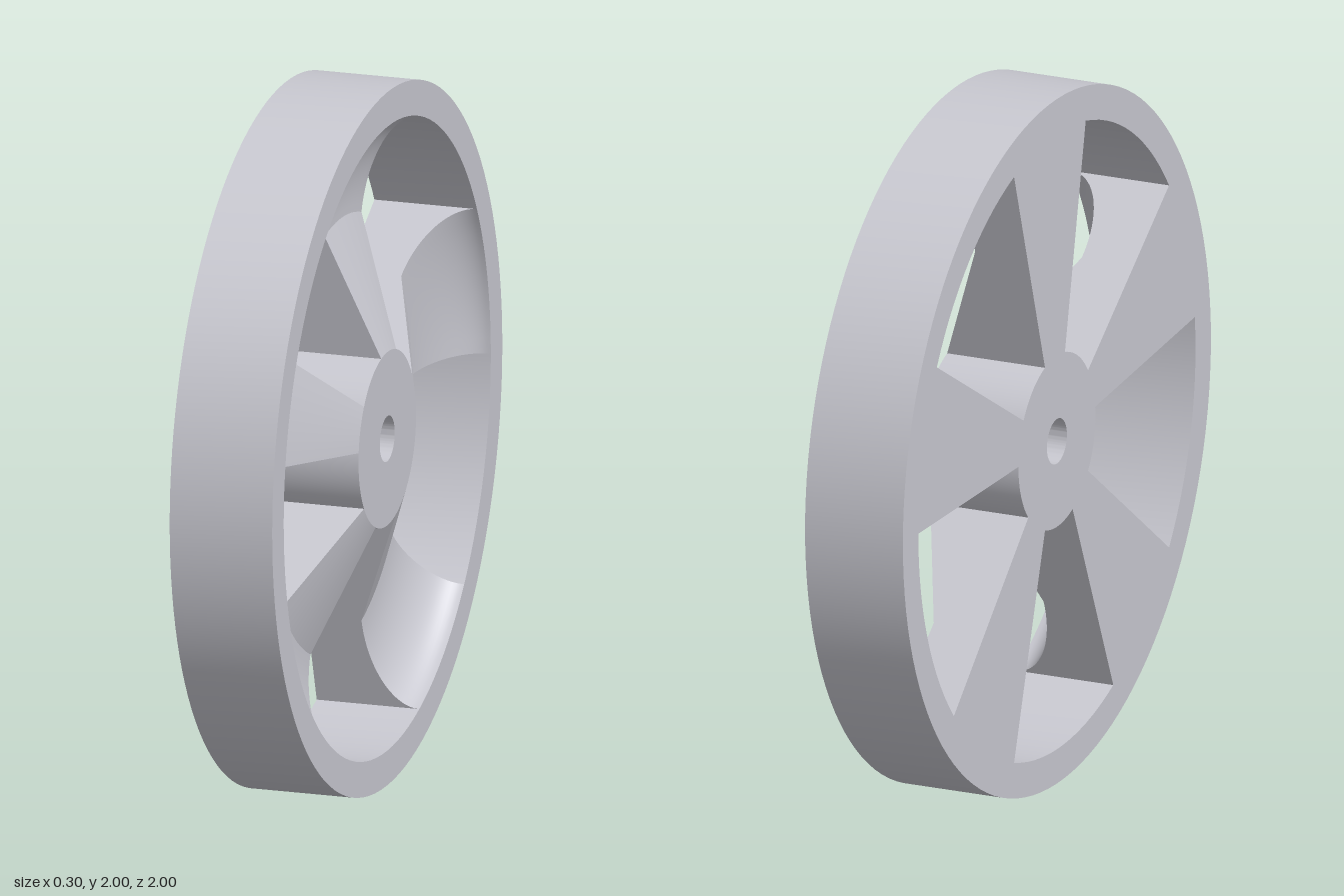
import * as THREE from 'three';
import { mergeGeometries, toCreasedNormals } from 'three/addons/utils/BufferGeometryUtils.js';

const HALF = 0.15, RIM = 1, RIM_IN = 0.9, HUB = 0.25, BORE = 0.065;
const KNEE_R = 0.62, KNEE_X = 0.01;
const SPOKES = 5, SPOKE_ANGLE = Math.PI / 6, STEP = Math.PI / 60;

// Revolve a closed counter-clockwise outline of (radius, axial) points around the x axis
function revolve(outline, angle = Math.PI * 2) {
  const start = Math.PI;
  const loop = [...outline, outline[0]];
  const parts = [new THREE.LatheGeometry(loop, Math.round(angle / STEP), start, angle)];
  if (angle < Math.PI * 2) {
    // flat side walls closing the wedge
    const first = new THREE.ShapeGeometry(new THREE.Shape(outline));
    const last = first.clone();
    last.setIndex([...last.index.array].reverse());
    first.rotateY(start - Math.PI / 2);
    last.rotateY(start + angle - Math.PI / 2);
    parts.push(first, last);
  }
  for (const p of parts) p.deleteAttribute('uv');
  const geometry = mergeGeometries(parts);
  geometry.rotateZ(-Math.PI / 2);
  return toCreasedNormals(geometry, 0.3);
}

const point = (r, x) => new THREE.Vector2(r, x);
const ring = (inner, outer) => revolve([
  point(inner, -HALF), point(outer, -HALF), point(outer, HALF), point(inner, HALF),
]);

export function createModel() {
  const wheel = new THREE.Group();
  wheel.name = 'wheel';
  const metal = new THREE.MeshStandardMaterial({ color: 0xc8c8d0 });
  metal.name = 'light grey metal';

  const add = (name, geometry) => {
    const mesh = new THREE.Mesh(geometry, metal);
    mesh.name = name;
    mesh.position.y = 1;
    wheel.add(mesh);
    return mesh;
  };

  add('rim', ring(RIM_IN, RIM));
  add('hub', ring(BORE, HUB));

  // Spoke section: flat back, hollow sweeping up to the rim, slope up to the hub
  const section = [point(HUB, -HALF), point(RIM_IN, -HALF)];
  for (let i = 0; i <= 20; i++) {
    const a = (i / 20) * Math.PI / 2;
    section.push(point(
      KNEE_R + (RIM_IN - KNEE_R) * Math.cos(a),
      HALF - (HALF - KNEE_X) * Math.sin(a),
    ));
  }
  section.push(point(HUB, HALF));
  const spoke = revolve(section, SPOKE_ANGLE);
  for (let i = 0; i < SPOKES; i++) {
    add('spoke' + (i + 1), spoke).rotation.x = (i * Math.PI * 2) / SPOKES;
  }
  return wheel;
}
